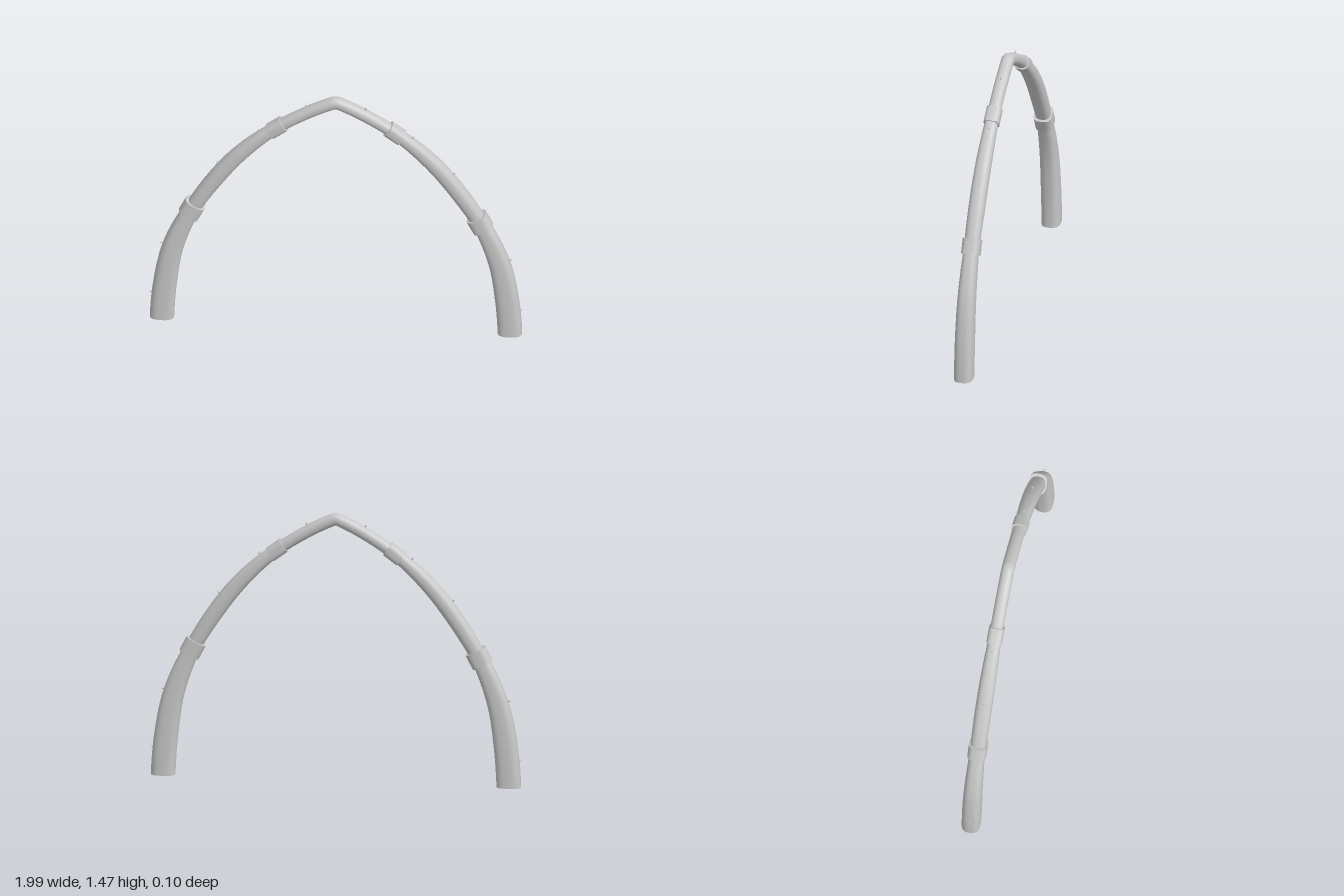
import * as THREE from 'three';
import { mergeVertices } from 'three/addons/utils/BufferGeometryUtils.js';

const SIDES = 32;

// Centreline of the pointed arch, left half mirrored to the right
const half = [[-0.93, 0], [-0.929, 0.04], [-0.914, 0.22], [-0.872, 0.455], [-0.77, 0.706],
  [-0.592, 0.985], [-0.465, 1.132], [-0.318, 1.26], [-0.15, 1.37], [-0.03, 1.431]];
const points = [...half, [0, 1.441], ...half.map(([x, y]) => [-x, y]).reverse()]
  .map(([x, y]) => new THREE.Vector3(x, y, 0));
const path = new THREE.CatmullRomCurve3(points, false, 'centripetal');
path.arcLengthDivisions = 800;

// Path parameter at a given x (x always increases along the path)
function uAtX(x) {
  let a = 0, b = 1;
  for (let i = 0; i < 40; i++) {
    const m = (a + b) / 2;
    if (path.getPointAt(m).x < x) a = m; else b = m;
  }
  return (a + b) / 2;
}

// Point, tangent and outward normal on the path
function frame(u) {
  const p = path.getPointAt(u);
  const t = u < 1e-6 ? new THREE.Vector3(0, 1, 0) : path.getTangentAt(u);
  return { p, t, n: new THREE.Vector3(-t.y, t.x, 0) };
}

// Closed loft from rings of { p, n, w, d }: rounded-rectangle sections with flat caps
function loft(rings, power) {
  const pos = [], index = [];
  const soft = v => Math.sign(v) * Math.pow(Math.abs(v), 2 / power);
  const addRing = ({ p, n, w, d }) => {
    const first = pos.length / 3;
    for (let j = 0; j < SIDES; j++) {
      const a = j / SIDES * Math.PI * 2, c = soft(Math.cos(a)) * w;
      pos.push(p.x + n.x * c, p.y + n.y * c, soft(Math.sin(a)) * d);
    }
    return first;
  };
  rings.forEach(addRing);
  for (let i = 0; i < rings.length - 1; i++) {
    for (let j = 0; j < SIDES; j++) {
      const k = (j + 1) % SIDES;
      const a = i * SIDES + j, b = i * SIDES + k;
      index.push(a, b, b + SIDES, a, b + SIDES, a + SIDES);
    }
  }
  // Caps use their own vertices so the rims stay sharp
  const s = addRing(rings[0]), e = addRing(rings[rings.length - 1]);
  for (let j = 1; j < SIDES - 1; j++) {
    index.push(s, s + j + 1, s + j, e, e + j, e + j + 1);
  }
  const g = new THREE.BufferGeometry();
  g.setAttribute('position', new THREE.Float32BufferAttribute(pos, 3));
  g.setIndex(index);
  g.computeVertexNormals();
  return mergeVertices(g);
}

// Piece of the arch whose half width and depth run through [start, middle, end]
function limb(u0, u1, widths, depths, power, steps) {
  const blend = ([a, m, b], s) => a * (1 - s) * (1 - 2 * s) + 4 * m * s * (1 - s) + b * s * (2 * s - 1);
  const rings = [];
  for (let i = 0; i <= steps; i++) {
    const s = i / steps;
    rings.push({ ...frame(u0 + (u1 - u0) * s), w: blend(widths, s), d: blend(depths, s) });
  }
  return loft(rings, power);
}

// Straight sleeve around the joint between two pieces
function collar(u, length, w, d) {
  const { p, t, n } = frame(u);
  return loft([-0.5, 0.5].map(s => ({ p: p.clone().addScaledVector(t, s * length), n, w, d })), 3);
}

export function createModel() {
  const grey = new THREE.MeshStandardMaterial({ color: 0xc8c8c8 });
  grey.name = 'light grey';
  const model = new THREE.Group();
  model.name = 'pointedArch';
  const add = (parent, name, geometry) => {
    const mesh = new THREE.Mesh(geometry, grey);
    mesh.name = name;
    parent.add(mesh);
    return mesh;
  };

  const uLow = uAtX(-0.77), uHigh = uAtX(-0.316);
  const lower = limb(0, uLow, [0.065, 0.06, 0.043], [0.05, 0.049, 0.039], 2.8, 28);
  const middle = limb(uLow, uHigh, [0.041, 0.044, 0.032], [0.041, 0.044, 0.034], 2.4, 28);
  const lowCollar = collar(uLow, 0.085, 0.057, 0.05);
  const highCollar = collar(uHigh, 0.092, 0.04, 0.042);

  // Small pegs on the outer face: x on the centreline, half width there
  const pegs = [[-0.922, 0.063], [-0.872, 0.058], [-0.592, 0.044], [-0.385, 0.036], [-0.14, 0.033]];

  // The model is symmetric front to back, so a half turn gives the other side
  for (const [name, turn] of [['rightSide', 0], ['leftSide', Math.PI]]) {
    const side = new THREE.Group();
    side.name = name;
    side.rotation.y = turn;
    add(side, 'lowerLimb', lower);
    add(side, 'middleLimb', middle);
    add(side, 'lowerCollar', lowCollar);
    add(side, 'upperCollar', highCollar);
    for (const [x, w] of pegs) {
      const { p, n } = frame(uAtX(x));
      const peg = add(side, 'peg', new THREE.CylinderGeometry(0.004, 0.004, 0.024, 8));
      peg.position.copy(p).addScaledVector(n, w);
      peg.quaternion.setFromUnitVectors(new THREE.Vector3(0, 1, 0), n);
    }
    model.add(side);
  }

  // Bent top piece joining both sides
  add(model, 'apex', limb(uHigh, 1 - uHigh, [0.032, 0.033, 0.032], [0.035, 0.035, 0.035], 2.2, 64));
  return model;
}
